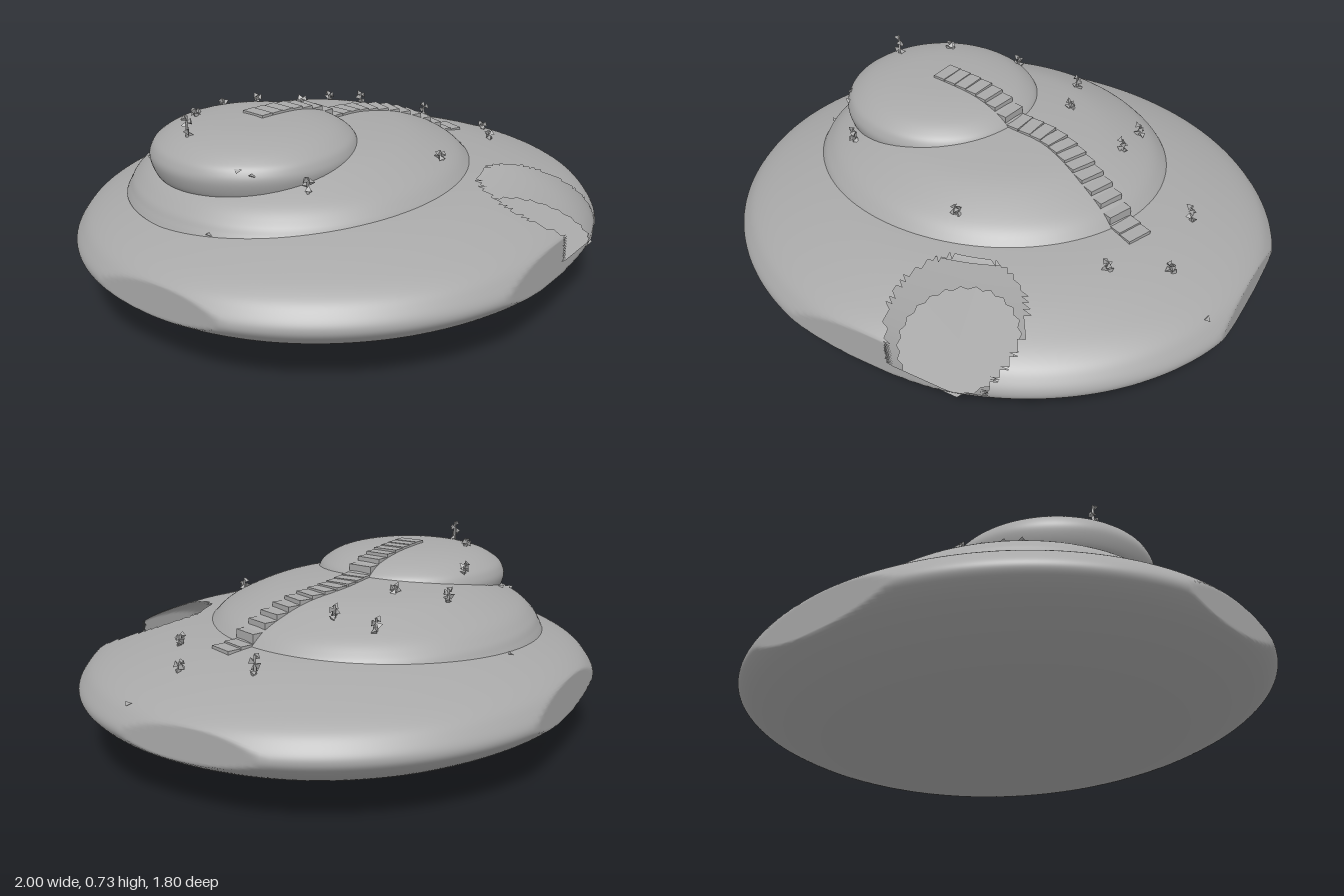
import * as THREE from 'three';
import { mergeVertices } from 'three/addons/utils/BufferGeometryUtils.js';

const stone = new THREE.MeshStandardMaterial({ color: 0xa8a8a8, side: THREE.DoubleSide });
stone.name = 'grey stone';

// Profiles run bottom to top as [fraction of radius, height]
const TIERS = [
  { name: 'islandHull', cx: 0, cz: 0, rx: 1.04, rz: 0.95, rows: 90, cols: 200,
    profile: [[0, 0], [0.25, 0.008], [0.48, 0.03], [0.68, 0.065], [0.82, 0.11], [0.93, 0.165], [0.985, 0.21],
      [1, 0.245], [0.98, 0.285], [0.94, 0.325], [0.86, 0.365], [0.72, 0.41], [0.56, 0.44], [0.3, 0.46], [0, 0.47]] },
  { name: 'middleTerrace', cx: -0.1, cz: -0.095, rx: 0.69, rz: 0.62, rows: 40, cols: 120,
    profile: [[1.02, 0.39], [1, 0.415], [0.965, 0.45], [0.87, 0.5], [0.65, 0.56], [0.45, 0.585], [0.22, 0.598], [0, 0.605]] },
  { name: 'upperKnoll', cx: -0.35, cz: -0.13, rx: 0.38, rz: 0.37, rows: 40, cols: 96,
    profile: [[0.86, 0.47], [0.95, 0.5], [1, 0.55], [0.985, 0.585], [0.92, 0.615], [0.75, 0.648], [0.45, 0.671], [0, 0.68]] },
];
for (const t of TIERS) {
  t.points = new THREE.SplineCurve(t.profile.map(([r, y]) => new THREE.Vector2(r, y))).getPoints(t.rows);
  t.points.forEach(p => { p.x = Math.max(p.x, 0); });
}

// Highest ground at a place
function heightAt(x, z) {
  let best = 0;
  for (const t of TIERS) {
    const f = Math.hypot((x - t.cx) / t.rx, (z - t.cz) / t.rz);
    for (let i = 1; i < t.points.length; i++) {
      const a = t.points[i - 1], b = t.points[i];
      if (a.x >= f && b.x <= f && a.x > b.x) {
        best = Math.max(best, a.y + (b.y - a.y) * (a.x - f) / (a.x - b.x));
      }
    }
  }
  return best;
}

function tierGeometry(t) {
  let geo = new THREE.LatheGeometry(t.points, t.cols);
  geo.scale(t.rx, 1, t.rz);
  geo.translate(t.cx, 0, t.cz);
  geo.deleteAttribute('uv');
  geo.deleteAttribute('normal');
  geo = mergeVertices(geo, 1e-5);
  const p = geo.attributes.position;
  // Flattened sides of the island
  for (let i = 0; i < p.count; i++) {
    p.setX(i, THREE.MathUtils.clamp(p.getX(i), -1, 1));
    p.setZ(i, THREE.MathUtils.clamp(p.getZ(i), -0.9, 0.9));
  }
  geo.computeVertexNormals();
  // Ragged crater opening, left by dropping whole faces
  const idx = geo.index.array, keep = [];
  for (let i = 0; i < idx.length; i += 3) {
    const tri = [idx[i], idx[i + 1], idx[i + 2]];
    const mid = k => tri.reduce((s, v) => s + p.getComponent(v, k), 0) / 3;
    const inside = Math.hypot(mid(0) - 0.24, mid(2) - 0.73) < 0.232 && mid(1) > 0.225;
    if (!inside) keep.push(...tri);
  }
  geo.setIndex(keep);
  return geo;
}

let seed = 7;
const rand = () => (seed = (seed * 16807) % 2147483647) / 2147483647;

export function createModel() {
  const model = new THREE.Group();
  const add = (name, geo, parent = model) => {
    const m = new THREE.Mesh(geo, stone);
    m.name = name;
    parent.add(m);
    return m;
  };

  for (const t of TIERS) add(t.name, tierGeometry(t));

  // Sloping crater floor with a ragged rim
  const floor = new THREE.CircleGeometry(0.205, 48);
  floor.rotateX(-Math.PI / 2);
  const fp = floor.attributes.position;
  for (let i = 0; i < fp.count; i++) {
    const k = i % 2 ? 1.04 : 0.98;
    const z = Math.min(0.71 + fp.getZ(i) * k, 0.895);
    fp.setXYZ(i, 0.235 + fp.getX(i) * k, 0.25 + (0.71 - z) * 0.25, z);
  }
  floor.computeVertexNormals();
  add('craterFloor', floor);

  // Stairway climbing over both terraces
  const stairs = new THREE.Group();
  stairs.name = 'stairway';
  model.add(stairs);
  const path = new THREE.CatmullRomCurve3([[0.6, 0.12], [0.38, 0.03], [0.17, -0.06], [0, -0.08], [-0.16, -0.11], [-0.33, -0.13]]
    .map(([x, z]) => new THREE.Vector3(x, 0, z)));
  const steps = 20;
  for (let i = 0; i < steps; i++) {
    const p = path.getPointAt(i / (steps - 1)), d = path.getTangentAt(i / (steps - 1));
    const step = add('step', new THREE.BoxGeometry(0.05, 0.05, 0.1), stairs);
    step.position.set(p.x, heightAt(p.x, p.z) - 0.017, p.z);
    step.rotation.y = Math.atan2(-d.z, d.x);
  }

  // Small ragged shrubs: stem with stacked tufts, [x, z, height]
  const shrubs = [[-0.44, -0.33, 0.03], [-0.18, -0.43, 0.04], [0.07, -0.47, 0.05], [0.13, -0.29, 0.03],
    [0.4, -0.35, 0.05], [0.4, -0.19, 0.05], [0.73, -0.08, 0.07], [0.77, 0.19, 0.035], [0.59, 0.32, 0.04],
    [0.045, 0.41, 0.035], [-0.52, 0.24, 0.06], [-0.61, -0.21, 0.08]];
  for (const [x, z, h] of shrubs) {
    const shrub = new THREE.Group();
    shrub.name = 'shrub';
    shrub.position.set(x, heightAt(x, z) - 0.005, z);
    model.add(shrub);
    add('stem', new THREE.CylinderGeometry(0.004, 0.006, h, 5), shrub).position.y = h / 2;
    for (let i = 0; i < 5; i++) {
      const tuft = add('tuft', new THREE.TetrahedronGeometry(0.015), shrub);
      const a = i * 2.4;
      tuft.position.set(Math.cos(a) * 0.01, h * (0.15 + 0.19 * i), Math.sin(a) * 0.01);
      tuft.rotation.set(rand() * 3, rand() * 3, rand() * 3);
    }
  }

  // Loose stone chips near the terrace edges
  for (const [x, z] of [[-0.66, 0.06], [-0.64, 0.1], [-0.78, 0.03], [-0.52, -0.49], [-0.45, -0.505], [-0.36, -0.51], [0.08, -0.71], [0.94, 0.27]]) {
    const chip = add('stoneChip', new THREE.TetrahedronGeometry(0.018));
    chip.scale.y = 0.5;
    chip.position.set(x, heightAt(x, z), z);
    chip.rotation.y = rand() * 6;
  }
  return model;
}
